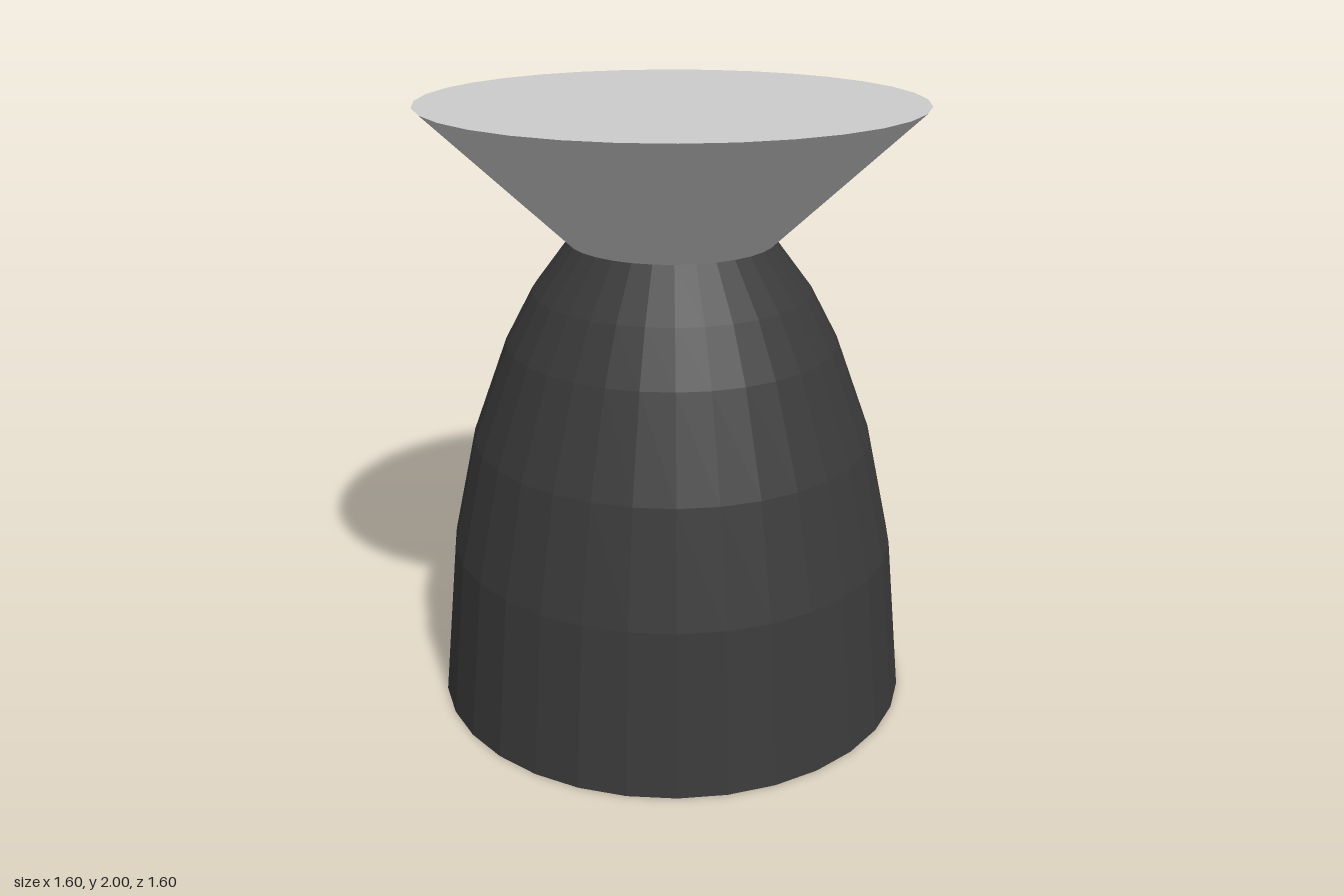
import * as THREE from 'three';

const SIDES = 32;

export function createModel() {
  const group = new THREE.Group();
  const grey = new THREE.MeshStandardMaterial({ color: 0xcccccc, flatShading: true });
  const dark = new THREE.MeshStandardMaterial({ color: 0x3a3a3a, flatShading: true });

  // Flared upper cone, closed at both ends
  const coneBottom = 1.56;
  const height = 2 - coneBottom;
  const cone = new THREE.Mesh(new THREE.CylinderGeometry(0.8, 0.335, height, SIDES), grey);
  cone.name = 'upperCone';
  cone.position.y = coneBottom + height / 2;
  group.add(cone);

  // Hollow bell: outer wall going up, then inner wall going down to the bottom rim
  const outer = [[0.8, 0], [0.745, 0.54], [0.663, 0.91], [0.545, 1.23], [0.455, 1.4], [0.335, coneBottom]];
  const inner = [[0.27, coneBottom], [0.39, 1.35], [0.475, 1.19], [0.588, 0.88], [0.666, 0.53], [0.72, 0]];
  const profile = [...outer, ...inner, outer[0]].map(([r, y]) => new THREE.Vector2(r, y));
  const bell = new THREE.Mesh(new THREE.LatheGeometry(profile, SIDES), dark);
  bell.name = 'bell';
  group.add(bell);

  return group;
}
